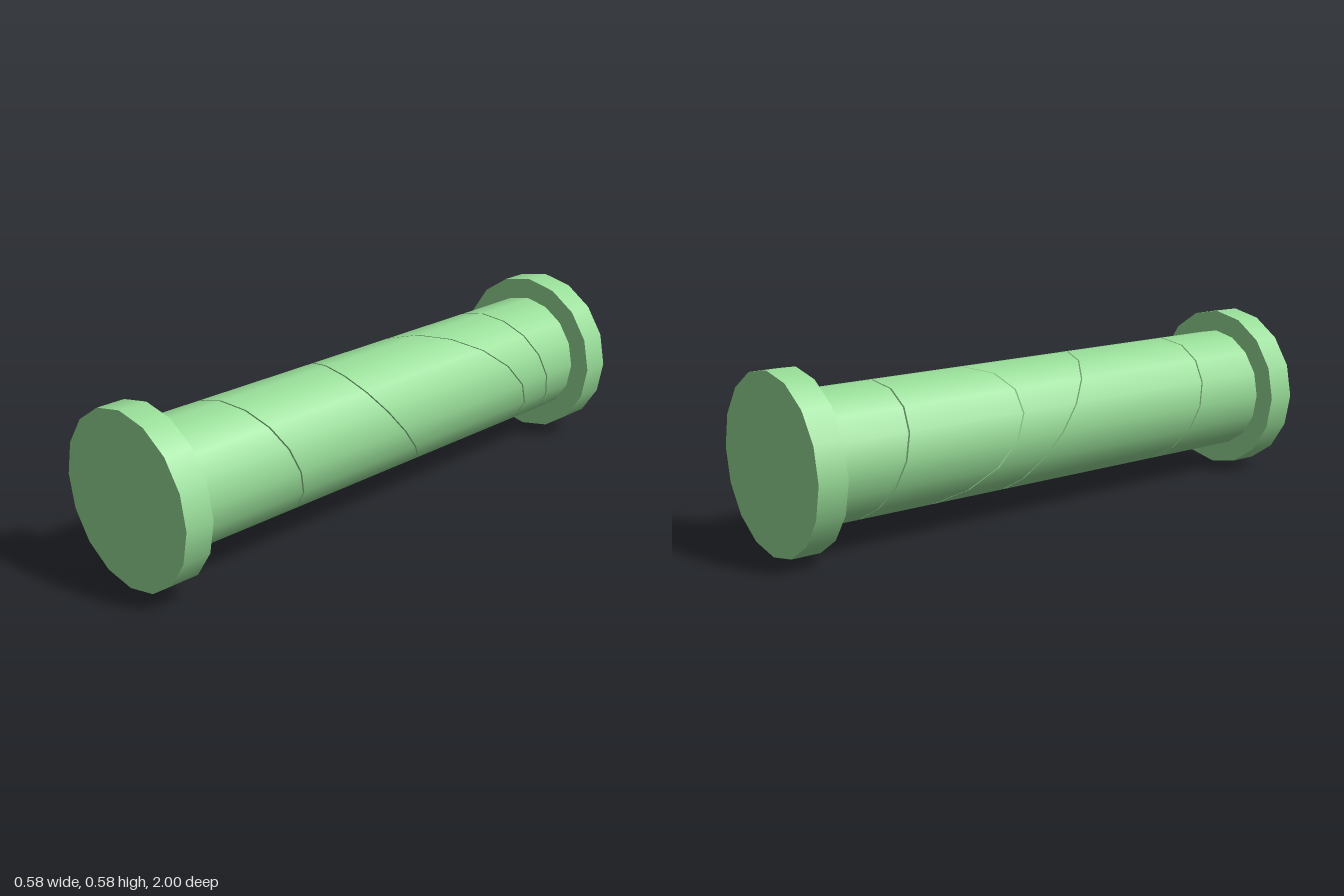
import * as THREE from 'three';

const SIDES = 16, RIM = 0.292, R = 0.217, GAP = 0.006;

// Slanted cuts through the barrel, front to back: z = a + b * x / R + c * y / R
const CUTS = [
  [0.9, 0, 0],
  [0.545, -0.06, 0.075],
  [-0.01, 0.02, 0.178],
  [-0.415, -0.195, 0.135],
  [-0.7, -0.05, 0.07],
  [-0.9, 0, 0],
];

function disc(radius, length) {
  return new THREE.CylinderGeometry(radius, radius, length, SIDES).rotateX(Math.PI / 2);
}

// Cylinder whose two end caps are tilted to lie on the given cuts
function barrelSection(front, back, frontInset, backInset) {
  const g = disc(R, 2), pos = g.attributes.position, nor = g.attributes.normal;
  const n = new THREE.Vector3();
  for (let i = 0; i < pos.count; i++) {
    const isFront = pos.getZ(i) > 0;
    const [a, b, c] = isFront ? front : back;
    const inset = isFront ? -frontInset : backInset;
    pos.setZ(i, a + (b * pos.getX(i) + c * pos.getY(i)) / R + inset);
    if (Math.abs(nor.getZ(i)) > 0.5) {
      n.set(-b / R, -c / R, 1).normalize().multiplyScalar(isFront ? 1 : -1);
      nor.setXYZ(i, n.x, n.y, n.z);
    }
  }
  return g;
}

export function createModel() {
  const model = new THREE.Group();
  model.name = 'segmentedCylinder';
  const green = new THREE.MeshStandardMaterial({ color: 0x98dd98 });
  const add = (name, geometry, z = 0) => {
    const mesh = new THREE.Mesh(geometry, green);
    mesh.name = name;
    mesh.position.set(0, RIM, z);
    model.add(mesh);
  };

  // Wide end caps
  add('frontCap', disc(RIM, 0.1), 0.95);
  add('backCap', disc(RIM, 0.1), -0.95);

  // Barrel sections with hairline gaps between them
  const last = CUTS.length - 2;
  for (let i = 0; i <= last; i++) {
    add(`barrelSection${i + 1}`, barrelSection(
      CUTS[i], CUTS[i + 1], i === 0 ? 0 : GAP / 2, i === last ? 0 : GAP / 2));
  }
  return model;
}
